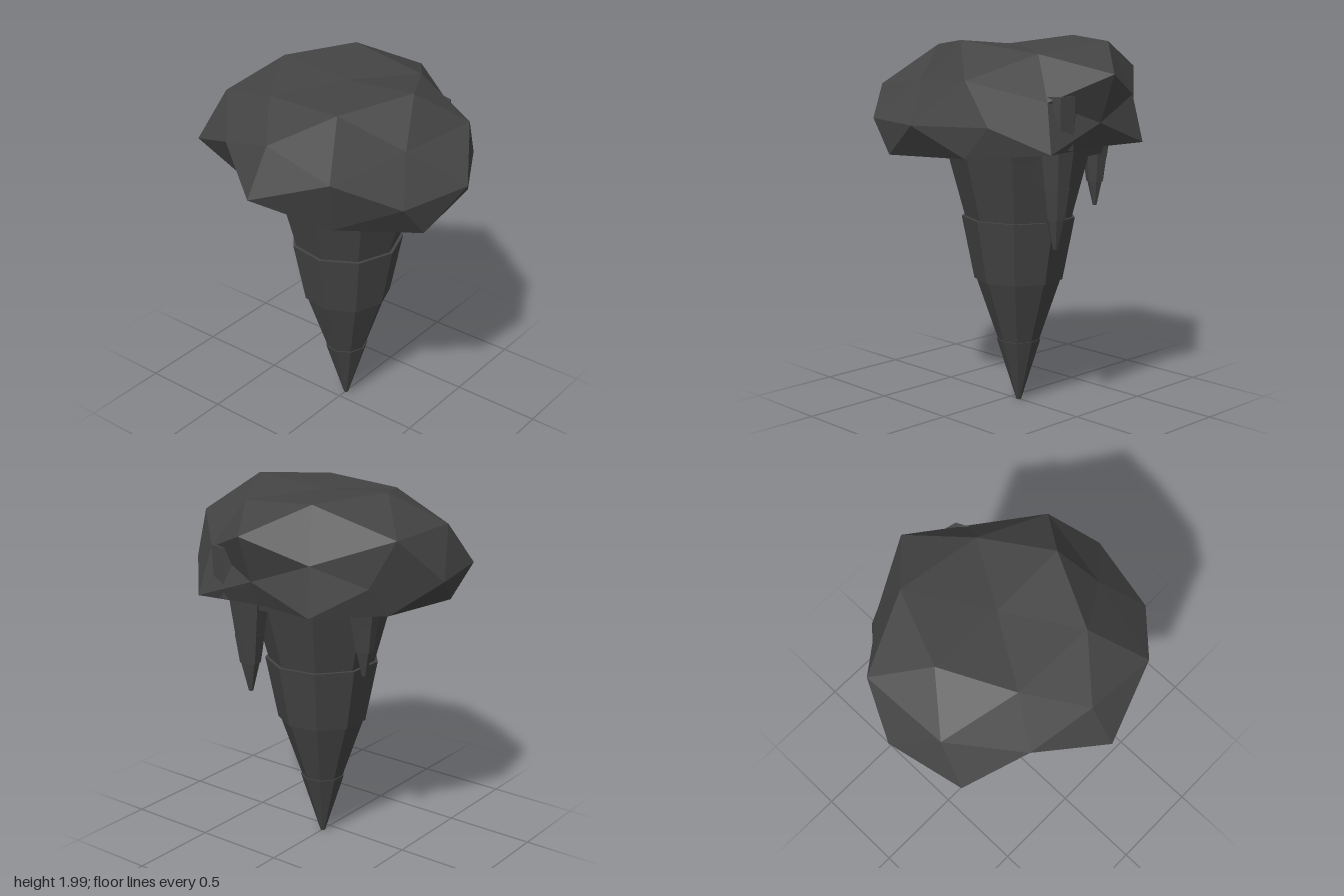
import * as THREE from 'three';

// Radii of the cap along each subdivided-icosahedron direction (|x|,|y|,|z| in tenths),
// ordered +x+z, -x+z, +x-z, -x-z for the upper and the lower half.
const CAP_RADII = {
  '0,10,0': { up: [0.62, 0.62, 0.62, 0.62], low: [0.6, 0.6, 0.6, 0.6] },
  '5,9,0': { up: [0.8, 0.795, 0.8, 0.795], low: [0.7, 0.7, 0.7, 0.7] },
  '3,8,5': { up: [0.755, 0.715, 0.71, 0.81], low: [0.7, 0.7, 0.7, 0.7] },
  '0,5,9': { up: [0.75, 0.75, 0.787, 0.787], low: [0.57, 0.57, 0.62, 0.62] },
  '5,3,8': { up: [0.805, 0.69, 0.635, 0.64], low: [0.72, 0.58, 0.715, 0.7] },
  '8,5,3': { up: [0.645, 0.773, 0.75, 0.797], low: [0.845, 0.8, 0.76, 0.73] },
  '9,0,5': { up: [0.78, 0.795, 0.665, 0.64] },
  '10,0,0': { up: [0.76, 0.765, 0.76, 0.765] },
  '0,0,10': { up: [0.79, 0.79, 0.58, 0.58] },
};

const CENTRE_Z = -0.063;

function faceted(geometry) {
  const g = geometry.index ? geometry.toNonIndexed() : geometry;
  g.computeVertexNormals();
  return g;
}

// Lumpy, flattened boulder with a levelled underside
function capGeometry() {
  const g = new THREE.IcosahedronGeometry(1, 1);
  const p = g.attributes.position;
  for (let i = 0; i < p.count; i++) {
    const d = [p.getX(i), p.getY(i), p.getZ(i)];
    const t = d.map((v) => Math.round(v * 10));
    const entry = CAP_RADII[t.map(Math.abs).join(',')];
    const list = t[1] < 0 ? entry.low : entry.up;
    const r = list[(t[0] < 0 ? 1 : 0) + (t[2] < 0 ? 2 : 0)];
    p.setXYZ(i, d[0] * r, Math.max(d[1], -0.35) * 0.6 * r, d[2] * r);
  }
  return faceted(g);
}

export function createModel() {
  const model = new THREE.Group();
  model.name = 'rockSpire';
  const rock = new THREE.MeshStandardMaterial({ color: 0x444444 });
  rock.name = 'darkRock';

  function addMesh(parent, name, geometry) {
    const mesh = new THREE.Mesh(geometry, rock);
    mesh.name = name;
    parent.add(mesh);
    return mesh;
  }

  // Stack of tapered drums; each row is [topY, topRadius, bottomY, bottomRadius]
  function addSpike(name, x, z, sides, rows) {
    const group = new THREE.Group();
    group.name = name;
    group.position.set(x, 0, z);
    rows.forEach(([y1, r1, y0, r0], i) => {
      const start = Math.PI / 2; // a corner points to +x
      const g = new THREE.CylinderGeometry(r1, r0, y1 - y0, sides, 1, false, start);
      addMesh(group, `${name}Segment${i + 1}`, faceted(g)).position.y = (y0 + y1) / 2;
    });
    model.add(group);
  }

  const cap = addMesh(model, 'cap', capGeometry());
  cap.position.set(0, 1.585, CENTRE_Z);

  // Main spire with the collar under the cap
  addSpike('spire', 0, CENTRE_Z, 9, [
    [1.5, 0.48, 1.39, 0.45],
    [1.39, 0.385, 1.04, 0.292],
    [1.04, 0.31, 0.695, 0.243],
    [0.695, 0.232, 0.35, 0.115],
    [0.35, 0.122, 0, 0.013],
  ]);

  // Hanging stalactites
  addSpike('largeStalactite', 0.154, -0.48, 7, [
    [1.5, 0.112, 1.25, 0.078],
    [1.25, 0.08, 1.09, 0.056],
    [1.09, 0.05, 0.93, 0.012],
  ]);
  addSpike('smallStalactite', -0.41, -0.245, 7, [
    [1.5, 0.095, 1.33, 0.068],
    [1.33, 0.066, 1.2, 0.048],
    [1.2, 0.042, 1.065, 0.011],
  ]);

  // Chunk poking out of the dent at the back
  addSpike('backChunk', 0.21, -0.545, 7, [[1.73, 0.102, 1.46, 0.09]]);

  return model;
}
